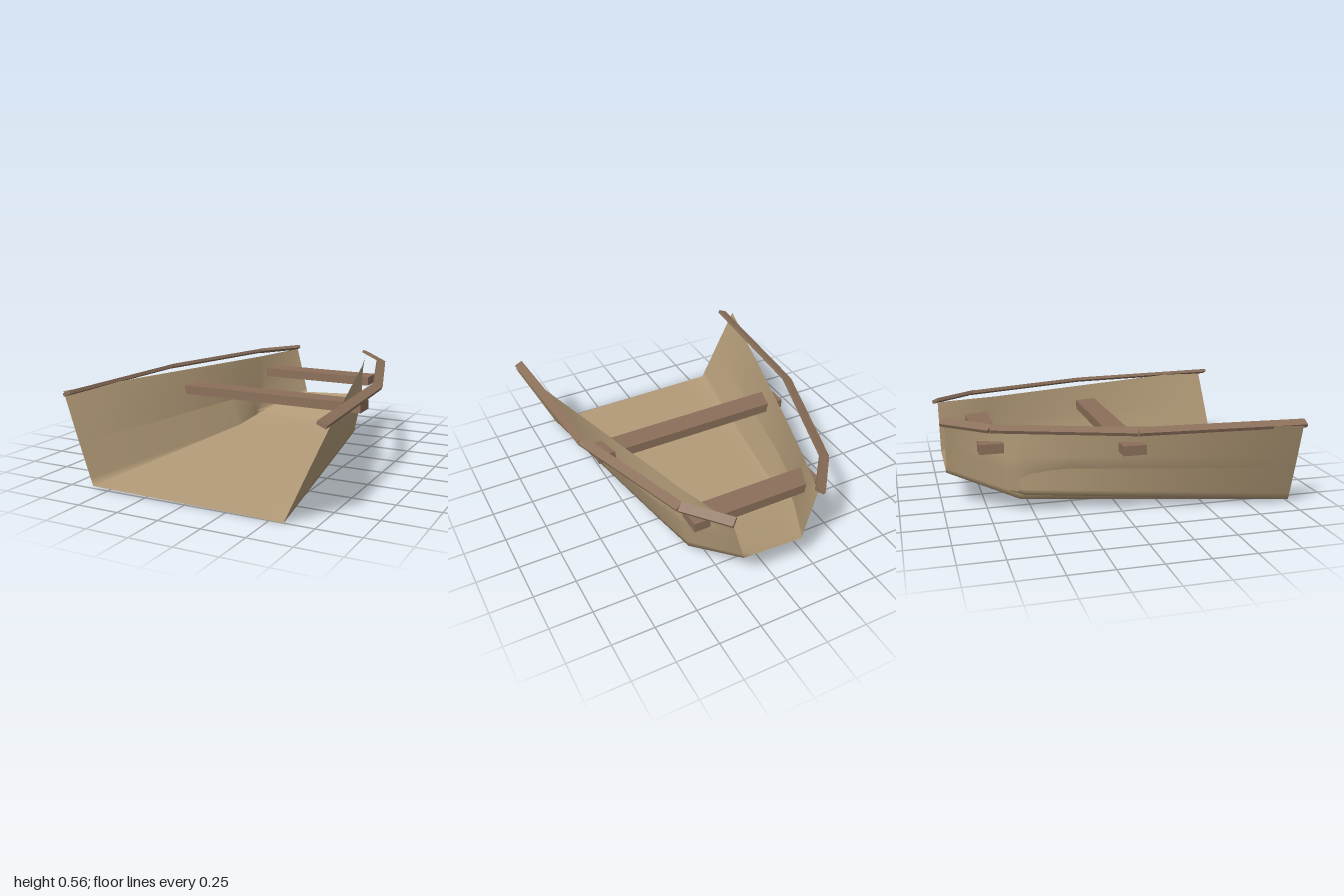
import * as THREE from 'three';

const hullMat = new THREE.MeshStandardMaterial({ color: 0xb39b78, side: THREE.DoubleSide });
const woodMat = new THREE.MeshStandardMaterial({ color: 0x8b705a });

// Cross-sections from front to back, each from the right rim over the wall,
// the chines and the left wall to the left rim
const front = [[-0.815, 0.53, 0.95], [-0.715, 0.29, 0.975], [-0.6, 0.018, 1], [0.58, 0.004, 1], [0.7, 0.28, 0.98], [0.81, 0.53, 0.96]];
const back = [[-0.25, 0.53, -0.97], [-0.21, 0.373, -0.97], [-0.17, 0.215, -0.97], [0.2, 0.235, -0.97], [0.24, 0.383, -0.97], [0.28, 0.53, -0.97]];
const outerSections = [
  front,
  [[-0.465, 0.52, -0.3], [-0.445, 0.3, -0.3], [-0.355, 0.055, -0.3], [0.39, 0.052, -0.3], [0.475, 0.3, -0.3], [0.475, 0.52, -0.3]],
  [[-0.375, 0.52, -0.6], [-0.38, 0.3, -0.6], [-0.37, 0.085, -0.57], [0.345, 0.067, -0.6], [0.39, 0.3, -0.6], [0.39, 0.52, -0.6]],
  back,
];
const liningSections = [
  front,
  [[-0.375, 0.52, -0.6], [-0.37, 0.3, -0.6], [-0.385, 0.115, -0.55], [0.34, 0.107, -0.55], [0.375, 0.3, -0.6], [0.39, 0.52, -0.6]],
  back,
];

// Open trough lofted through the sections, with smooth shading
function makeShell(name, sections) {
  const across = 6, along = 8, pos = [], index = [];
  const rows = (sections.length - 1) * along + 1, cols = 5 * across + 1;
  const point = (k, j) => new THREE.Vector3(...sections[k][j]);
  for (let r = 0; r < rows; r++) {
    const k = Math.min(Math.floor(r / along), sections.length - 2), v = r / along - k;
    for (let c = 0; c < cols; c++) {
      const j = Math.min(Math.floor(c / across), 4), u = c / across - j;
      const a = point(k, j).lerp(point(k, j + 1), u);
      const b = point(k + 1, j).lerp(point(k + 1, j + 1), u);
      pos.push(...a.lerp(b, v).toArray());
      if (r < rows - 1 && c < cols - 1) {
        const i = r * cols + c;
        index.push(i, i + cols, i + 1, i + 1, i + cols, i + cols + 1);
      }
    }
  }
  const g = new THREE.BufferGeometry();
  g.setAttribute('position', new THREE.Float32BufferAttribute(pos, 3));
  g.setIndex(index);
  g.computeVertexNormals();
  const shell = new THREE.Mesh(g, hullMat);
  shell.name = name;
  return shell;
}

// Plank between two points, rolled a little about its length
function plank(name, from, to, width, thick, roll = 0) {
  const a = new THREE.Vector3(...from), b = new THREE.Vector3(...to);
  const m = new THREE.Mesh(new THREE.BoxGeometry(width, thick, a.distanceTo(b)), woodMat);
  m.position.copy(a).lerp(b, 0.5);
  m.lookAt(b);
  m.rotateZ(roll);
  m.name = name;
  return m;
}

export function createModel() {
  const boat = new THREE.Group();
  boat.name = 'rowingBoat';
  boat.add(makeShell('hull', outerSections), makeShell('lining', liningSections));

  // Cross benches, their ends poking through the sides
  boat.add(plank('middleBench', [-0.62, 0.402, 0.035], [0.64, 0.402, 0.035], 0.135, 0.057));
  boat.add(plank('rearBench', [-0.39, 0.402, -0.73], [0.41, 0.402, -0.73], 0.14, 0.057));

  // Three tilted gunwale boards along each side
  const rails = {
    leftGunwale: [[0.775, 0.53, 0.995], [0.715, 0.53, 0.03], [0.468, 0.535, -0.745], [0.275, 0.54, -0.985]],
    rightGunwale: [[-0.755, 0.53, 0.995], [-0.692, 0.53, 0.03], [-0.445, 0.535, -0.74], [-0.25, 0.54, -0.985]],
  };
  for (const [name, pts] of Object.entries(rails)) {
    const group = new THREE.Group();
    group.name = name;
    const side = Math.sign(pts[0][0]);
    for (let i = 0; i < 3; i++)
      group.add(plank('gunwaleBoard', pts[i], pts[i + 1], 0.055, 0.02, side * [0.4, 0.4, 0.45][i]));
    boat.add(group);
  }
  return boat;
}
